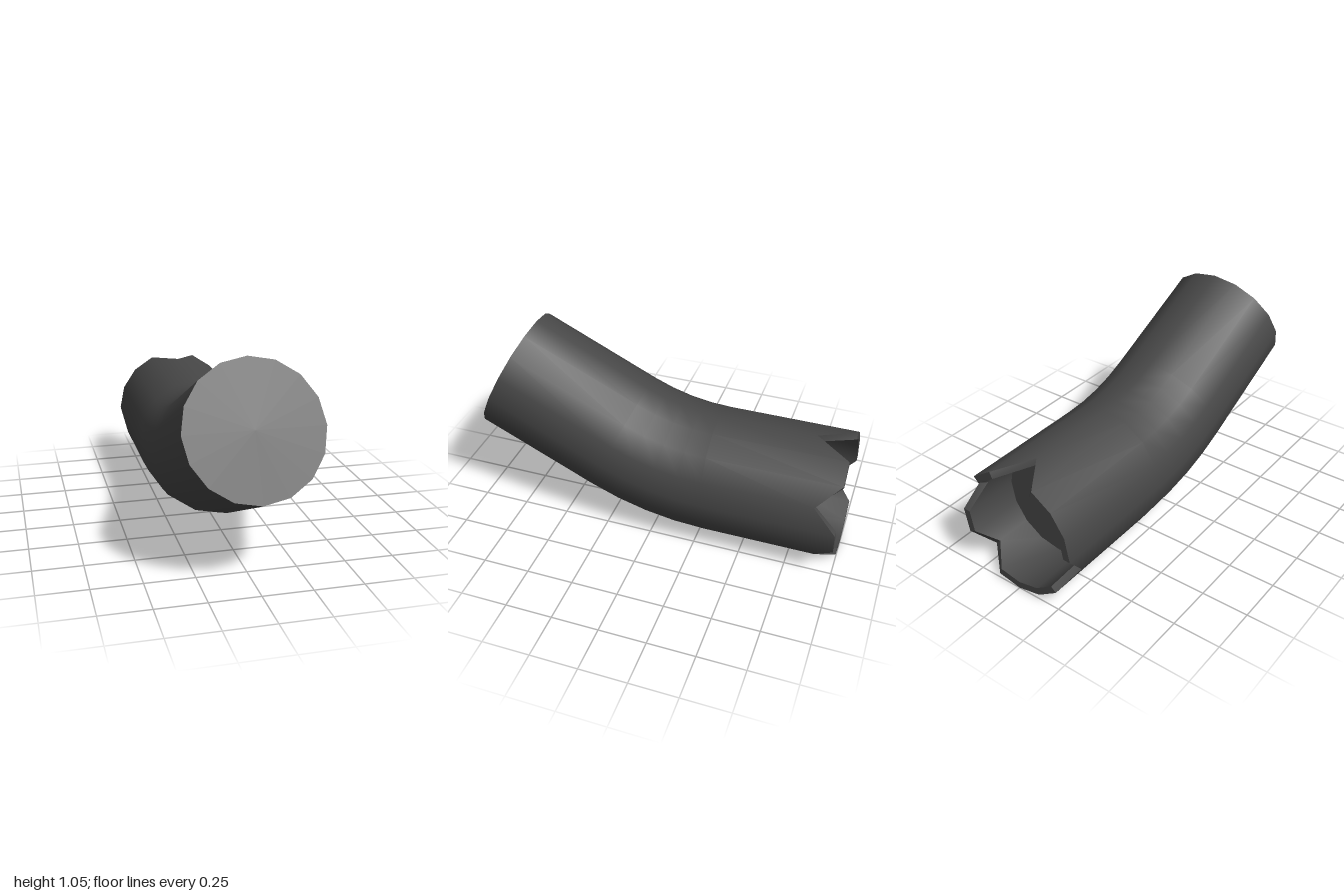
import * as THREE from 'three';
import { toCreasedNormals } from 'three/addons/utils/BufferGeometryUtils.js';

const SIDES = 16, RADIUS = 0.338, INNER = 0.3;
const BEND = THREE.MathUtils.degToRad(25), BEND_RADIUS = 1.28, BEND_START = -0.3;

// A ring of points around a centre in the y-z plane, tilted about x.
function ring(y, z, tilt, radius) {
  return Array.from({ length: SIDES }, (_, i) => {
    const a = (i / SIDES) * Math.PI * 2, up = radius * Math.sin(a);
    return [radius * Math.cos(a), y + up * Math.cos(tilt), z - up * Math.sin(tilt)];
  });
}

// Joins successive rings with outward faces; radius-0 rings close the ends.
function loft(rings) {
  const pos = [];
  const same = (p, q) => p.every((v, k) => Math.abs(v - q[k]) < 1e-9);
  const tri = (p, q, r) => {
    if (!same(p, q) && !same(q, r) && !same(p, r)) pos.push(...p, ...q, ...r);
  };
  for (let i = 0; i < rings.length - 1; i++) {
    for (let j = 0; j < SIDES; j++) {
      const k = (j + 1) % SIDES;
      const a = rings[i][j], b = rings[i][k], c = rings[i + 1][j], d = rings[i + 1][k];
      tri(a, c, b);
      tri(b, c, d);
    }
  }
  const geo = new THREE.BufferGeometry();
  geo.setAttribute('position', new THREE.Float32BufferAttribute(pos, 3));
  return toCreasedNormals(geo, 0.6);
}

export function createModel() {
  const group = new THREE.Group();
  const charcoal = new THREE.MeshStandardMaterial({ color: 0x484848 });
  charcoal.name = 'charcoal';

  // Notches in the broken rim: side index -> depth of the V
  const notches = { 1: 0.12, 4: 0.185, 9: 0.11, 14: 0.1 };
  const rim = (radius) => ring(RADIUS, -1, 0, radius)
    .map(([x, y, z], i) => [x, y, z + (notches[i] || 0)]);

  const rings = [];
  // Closed, upward-tilted front end
  rings.push(ring(0.745, 0.855, BEND, 0), ring(0.745, 0.855, BEND, RADIUS));
  // Bend, from the tilted section down to the level one
  for (let s = 4; s >= 0; s--) {
    const t = (BEND * s) / 4;
    rings.push(ring(RADIUS + BEND_RADIUS * (1 - Math.cos(t)),
      BEND_START + BEND_RADIUS * Math.sin(t), t, RADIUS));
  }
  // Jagged rim, hollow inside and inner floor
  rings.push(rim(RADIUS), rim(INNER));
  rings.push(ring(RADIUS, -0.7, 0, INNER), ring(RADIUS, -0.7, 0, 0));

  const pipe = new THREE.Mesh(loft(rings), charcoal);
  pipe.name = 'brokenPipe';
  group.add(pipe);
  return group;
}
